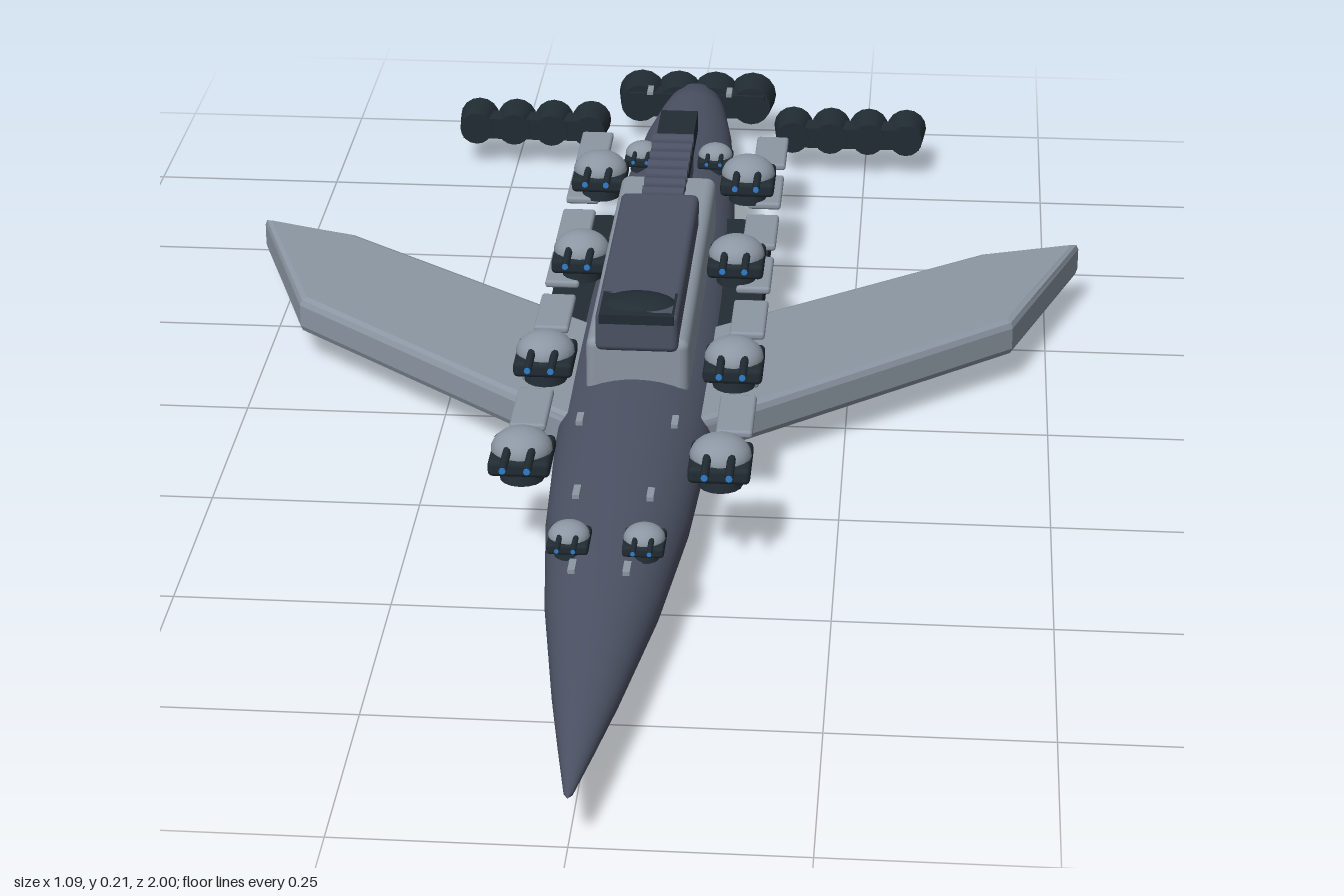
import * as THREE from 'three';
import { RoundedBoxGeometry } from 'three/addons/geometries/RoundedBoxGeometry.js';

const paint = (name, color) => {
  const m = new THREE.MeshStandardMaterial({ color });
  m.name = name;
  return m;
};

export function createModel() {
  const slate = paint('slate hull', 0x4c5264);
  const light = paint('light grey armour', 0x8c97a3);
  const dark = paint('dark gunmetal', 0x212c33);
  const blue = paint('engine blue', 0x2f7fd0);
  const trim = paint('nozzle trim', 0x66727c);
  const model = new THREE.Group();

  const add = (parent, name, geo, mat, x = 0, y = 0, z = 0) => {
    const mesh = new THREE.Mesh(geo, mat);
    mesh.name = name;
    mesh.position.set(x, y, z);
    parent.add(mesh);
    return mesh;
  };
  const box = (w, h, d) => new THREE.BoxGeometry(w, h, d);
  const rounded = (w, h, d, r) => new RoundedBoxGeometry(w, h, d, 2, r);
  const rod = (r0, r1, len, sides = 12) => new THREE.CylinderGeometry(r0, r1, len, sides).rotateX(Math.PI / 2);

  // Spindle hull, flattened vertically
  const profile = [
    [0, -0.96], [0.036, -0.96], [0.047, -0.9], [0.061, -0.8], [0.077, -0.6], [0.087, -0.4], [0.093, -0.2],
    [0.095, 0], [0.092, 0.2], [0.083, 0.4], [0.064, 0.6], [0.036, 0.8], [0.02, 0.9], [0.005, 0.99], [0, 1],
  ].map(p => new THREE.Vector2(...p));
  const hull = new THREE.LatheGeometry(profile, 40).rotateX(Math.PI / 2);
  // Fuller belly amidships, slimmer towards the ends
  const pos = hull.attributes.position;
  for (let i = 0; i < pos.count; i++) {
    pos.setY(i, pos.getY(i) * (0.58 + 0.2 * Math.abs(pos.getZ(i))));
  }
  hull.computeVertexNormals();
  add(model, 'hull', hull, slate, 0, 0.059, 0);

  // Superstructure: armoured base, upper deck, bridge and spine
  add(model, 'superstructureBase', rounded(0.125, 0.08, 0.53, 0.012), light, 0, 0.127, -0.145);
  add(model, 'upperDeck', rounded(0.1, 0.05, 0.385, 0.008), slate, 0, 0.18, -0.063);
  const bridge = new THREE.SphereGeometry(0.046, 20, 8, 0, Math.PI * 2, 0, Math.PI / 2).scale(1, 0.28, 0.7);
  add(model, 'bridgeDome', bridge, dark, 0, 0.201, 0.09);
  add(model, 'bridgeWindow', box(0.09, 0.012, 0.07), dark, 0, 0.199, 0.097);
  add(model, 'spine', box(0.05, 0.03, 0.36), dark, 0, 0.165, -0.43);
  add(model, 'spineSupport', box(0.045, 0.06, 0.16), slate, 0, 0.125, -0.48);
  for (let i = 0; i < 8; i++) {
    const rib = new THREE.CylinderGeometry(0.009, 0.009, 0.054, 10).rotateZ(Math.PI / 2);
    add(model, 'spineRib', rib, slate, 0, 0.183, -0.275 - i * 0.031);
  }

  // Twin-barrel turret with a domed roof
  const turret = (x, y, z, s) => {
    const g = new THREE.Group();
    g.name = 'turret';
    g.position.set(x, y, z);
    g.scale.setScalar(s);
    add(g, 'turretBase', rounded(0.072, 0.02, 0.08, 0.006), dark, 0, 0.01, 0);
    add(g, 'turretRing', new THREE.CylinderGeometry(0.022, 0.026, 0.02, 16), dark, 0, -0.008, 0);
    const dome = new THREE.SphereGeometry(0.036, 20, 8, 0, Math.PI * 2, 0, Math.PI / 2).scale(1, 0.7, 1);
    add(g, 'turretDome', dome, light, 0, 0.019, 0);
    for (const side of [-1, 1]) {
      add(g, 'turretBarrel', rod(0.005, 0.005, 0.06, 8), dark, side * 0.014, 0.028, 0.048);
      add(g, 'turretMuzzle', rod(0.004, 0.004, 0.002, 8), blue, side * 0.014, 0.028, 0.079);
    }
    model.add(g);
  };

  const nozzle = (parent, x, y, z, r, len) => {
    const g = new THREE.Group();
    g.name = 'engineNozzle';
    g.position.set(x, y, z);
    add(g, 'nozzleBell', rod(r * 0.82, r, len, 16), dark);
    add(g, 'nozzleRing', new THREE.TorusGeometry(r * 0.72, r * 0.13, 6, 18), trim, 0, 0, -len / 2);
    add(g, 'nozzleGlow', rod(r * 0.62, r * 0.62, 0.003, 18), blue, 0, 0, -len / 2 - 0.001);
    add(g, 'nozzleCore', rod(r * 0.3, r * 0.3, 0.003, 12), dark, 0, 0, -len / 2 - 0.003);
    parent.add(g);
  };

  for (const s of [-1, 1]) {
    // Swept wing
    const outline = [[0.03, 0.21], [0.14, 0.122], [0.455, -0.15], [0.543, -0.412], [0.415, -0.37], [0.14, -0.16], [0.03, -0.076]];
    const shape = new THREE.Shape(outline.map(([x, z]) => new THREE.Vector2(s * x, z)));
    const wing = new THREE.ExtrudeGeometry(shape, {
      depth: 0.028, bevelThickness: 0.01, bevelSize: 0.01, bevelOffset: -0.01, bevelSegments: 2,
    }).rotateX(Math.PI / 2);
    add(model, 'wing', wing, light, 0, 0.077, 0);

    // Dark side sponson and the row of armour plates beside it
    add(model, 'sideSponson', box(0.07, 0.04, 0.54), dark, s * 0.1, 0.065, -0.19);
    for (let i = 0; i < 7; i++) {
      add(model, 'sidePlate', rounded(0.044, 0.01, 0.104, 0.004), light, s * 0.123, 0.093, -0.68 + i * 0.141);
    }

    // Main and secondary turrets
    for (const [x, z] of [[0.115, 0.35], [0.115, 0.08], [0.1, -0.235], [0.1, -0.51]]) {
      turret(s * x, 0.112, z, 1);
    }
    turret(s * 0.042, 0.107, 0.54, 0.65);
    turret(s * 0.05, 0.108, -0.6, 0.65);

    // Small sensor fins
    for (const [x, z] of [[0.03, 0.63], [0.042, 0.45], [0.056, 0.26], [0.056, -0.82]]) {
      add(model, 'sensorFin', box(0.008, 0.005, 0.026), light, s * x, 0.128, z);
    }

    // Outrigger engine pods
    const pod = new THREE.Group();
    pod.name = 'enginePod';
    add(pod, 'podBeam', box(0.2, 0.03, 0.035), dark, s * 0.227, 0.057, -0.85);
    for (let i = 0; i < 4; i++) nozzle(pod, s * (0.146 + i * 0.054), 0.057, -0.857, 0.028, 0.052);
    model.add(pod);
  }

  // Stern engine bank
  const stern = new THREE.Group();
  stern.name = 'sternEngines';
  add(stern, 'sternBeam', box(0.2, 0.035, 0.03), dark, 0, 0.059, -0.955);
  for (let i = 0; i < 4; i++) nozzle(stern, (i - 1.5) * 0.054, 0.059, -0.97, 0.034, 0.05);
  model.add(stern);

  return model;
}
